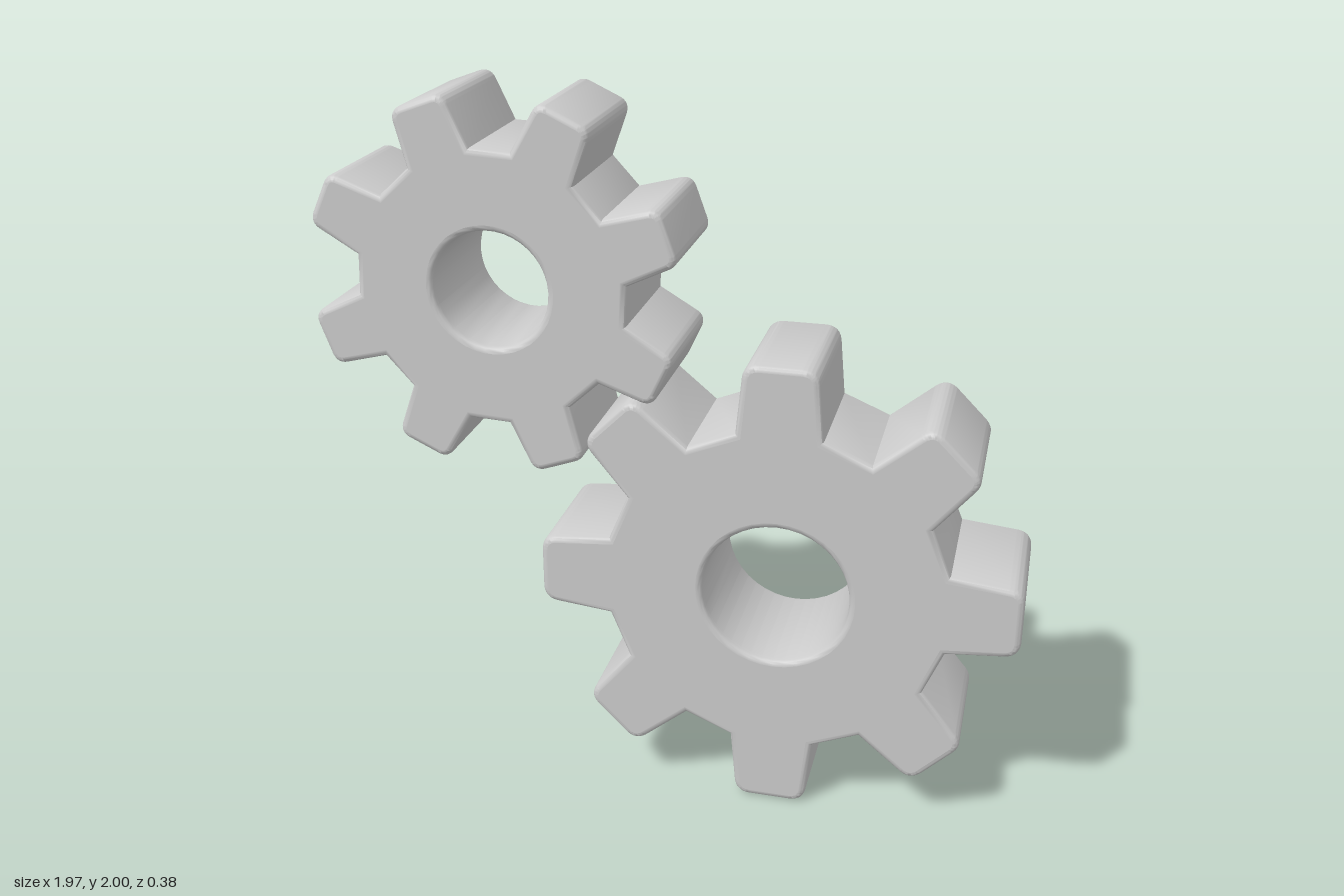
import * as THREE from 'three';
import { toCreasedNormals } from 'three/addons/utils/BufferGeometryUtils.js';

const TEETH = 8;
const THICKNESS = 0.38;
const BEVEL = 0.018;

// Gear outline: tapered teeth with rounded tips and flat valleys, plus a round bore
function gearShape(size) {
  const pitch = (Math.PI * 2) / TEETH;
  const rootAngle = THREE.MathUtils.degToRad(14.2);
  const root = new THREE.Vector2(0.488 * Math.cos(rootAngle), 0.488 * Math.sin(rootAngle));
  const tip = new THREE.Vector2(0.672, 0.101);
  const round = 0.045;
  const flank = tip.clone().sub(root).normalize().multiplyScalar(-round).add(tip);
  const shape = new THREE.Shape();

  for (let i = 0; i < TEETH; i++) {
    const at = (x, y) => {
      const p = new THREE.Vector2(x, y).rotateAround(new THREE.Vector2(), i * pitch);
      return p.multiplyScalar(size).toArray();
    };
    if (i === 0) shape.moveTo(...at(root.x, -root.y));
    else shape.lineTo(...at(root.x, -root.y));
    shape.lineTo(...at(flank.x, -flank.y));
    shape.quadraticCurveTo(...at(tip.x, -tip.y), ...at(tip.x, -tip.y + round));
    shape.lineTo(...at(tip.x, tip.y - round));
    shape.quadraticCurveTo(...at(tip.x, tip.y), ...at(flank.x, flank.y));
    shape.lineTo(...at(root.x, root.y));
  }
  shape.closePath();

  const bore = new THREE.Path();
  bore.absarc(0, 0, 0.206 * size, 0, Math.PI * 2, true);
  shape.holes.push(bore);
  return shape;
}

function makeGear(name, size, x, y, turn, material) {
  const depth = THICKNESS - 2 * BEVEL;
  const extruded = new THREE.ExtrudeGeometry(gearShape(size), {
    depth,
    curveSegments: 20,
    bevelEnabled: true,
    bevelThickness: BEVEL,
    bevelSize: BEVEL,
    bevelOffset: -BEVEL,
    bevelSegments: 4,
  });
  extruded.translate(0, 0, -depth / 2);
  const geometry = toCreasedNormals(extruded, 0.6);

  // Keep the two flat faces evenly shaded up to the bevel
  const pos = geometry.attributes.position;
  const normal = geometry.attributes.normal;
  for (let i = 0; i < pos.count; i += 3) {
    const z = pos.getZ(i);
    const isCap = [0, 1, 2].every((k) => Math.abs(pos.getZ(i + k) - Math.sign(z) * THICKNESS / 2) < 1e-5);
    if (isCap) for (let k = 0; k < 3; k++) normal.setXYZ(i + k, 0, 0, Math.sign(z));
  }

  const gear = new THREE.Mesh(geometry, material);
  gear.name = name;
  gear.position.set(x, y, 0);
  gear.rotation.z = THREE.MathUtils.degToRad(turn);
  return gear;
}

export function createModel() {
  const model = new THREE.Group();
  model.name = 'gearPair';
  const material = new THREE.MeshStandardMaterial({ color: 0xcccccc });
  model.add(makeGear('largeGear', 1, 0.313, 0.673, 0, material));
  model.add(makeGear('smallGear', 0.78, -0.476, 1.49, 20, material));
  return model;
}
